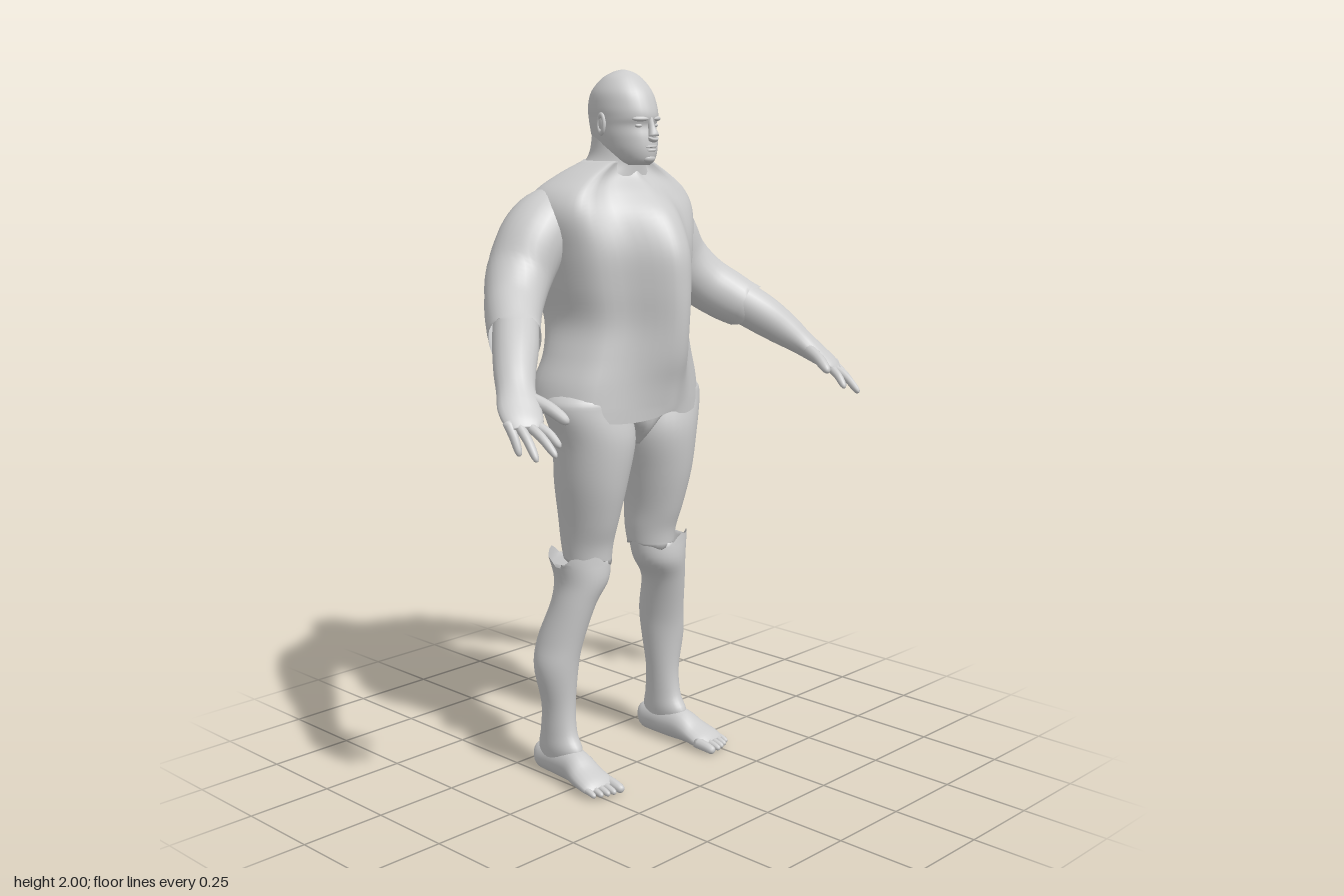
import * as THREE from 'three';

const stone = new THREE.MeshStandardMaterial({ color: 0xcccccc, side: THREE.DoubleSide });
stone.name = 'stone grey';

// Interpolate a short table of sections smoothly into many
function smooth(rows, steps = 5) {
  const out = [], last = rows.length - 1;
  for (let k = 0; k <= last * steps; k++) {
    const i = Math.min(Math.floor(k / steps), last - 1), t = k / steps - i;
    const r = j => rows[Math.max(0, Math.min(last, j))];
    out.push(rows[0].map((_, c) => {
      const [a, b, d, e] = [r(i - 1)[c], r(i)[c], r(i + 1)[c], r(i + 2)[c]];
      return b + 0.5 * t * (d - a + t * (2 * a - 5 * b + 4 * d - e + t * (3 * (b - d) + e - a)));
    }));
  }
  return out;
}

// Skin a list of rings, with optional caps at start and end
function loft(name, rings, capStart = true, capEnd = true) {
  const n = rings.length, m = rings[0].length, pos = [], idx = [];
  rings.forEach(ring => ring.forEach(p => pos.push(p.x, p.y, p.z)));
  for (let i = 0; i < n - 1; i++) for (let j = 0; j < m; j++) {
    const a = i * m + j, b = i * m + (j + 1) % m;
    idx.push(a, b, b + m, a, b + m, a + m);
  }
  const cap = (row, flip) => {
    const c = new THREE.Vector3(), id = pos.length / 3;
    rings[row].forEach(p => c.addScaledVector(p, 1 / m));
    pos.push(c.x, c.y, c.z);
    for (let j = 0; j < m; j++) {
      const a = row * m + j, b = row * m + (j + 1) % m;
      flip ? idx.push(id, b, a) : idx.push(id, a, b);
    }
  };
  if (capStart) cap(0, true);
  if (capEnd) cap(n - 1, false);
  const g = new THREE.BufferGeometry();
  g.setAttribute('position', new THREE.Float32BufferAttribute(pos, 3));
  g.setIndex(idx);
  g.computeVertexNormals();
  const mesh = new THREE.Mesh(g, stone);
  mesh.name = name;
  return mesh;
}

// Upright form from rows [y, centre x, half width, front z, back z], bottom to top
function column(name, rows, { openTop = false, hem = [0, 0], sides = 32 } = {}) {
  const all = smooth(rows);
  const rings = all.map(([y, x, w, zf, zb], i) => Array.from({ length: sides }, (_, j) => {
    const a = j / sides * Math.PI * 2;
    const wave = Math.sin(a * 3) + 0.5 * Math.sin(a * 7 + 1);
    const dy = (i === 0 ? hem[0] : i === all.length - 1 ? hem[1] : 0) * wave;
    return new THREE.Vector3(x + w * Math.sin(a), y + dy, (zf + zb) / 2 + (zf - zb) / 2 * Math.cos(a));
  }));
  return loft(name, rings, true, !openTop);
}

// Limb along a path from rows [x, y, z, horizontal radius, other radius]
function limb(name, rows, { sides = 20, steps = 5, openEnd = false, ragged = 0 } = {}) {
  const all = smooth(rows, steps), P = all.map(r => new THREE.Vector3(r[0], r[1], r[2]));
  const rings = all.map((r, i) => {
    const t = P[Math.min(i + 1, P.length - 1)].clone().sub(P[Math.max(i - 1, 0)]).normalize();
    const u = t.clone().cross(new THREE.Vector3(0, 1, 0)).normalize(), v = t.clone().cross(u);
    return Array.from({ length: sides }, (_, j) => {
      const a = j / sides * Math.PI * 2;
      const p = P[i].clone().addScaledVector(u, r[3] * Math.cos(a)).addScaledVector(v, r[4] * Math.sin(a));
      return i === all.length - 1 ? p.addScaledVector(t, ragged * Math.sin(a * 3)) : p;
    });
  });
  return loft(name, rings, true, !openEnd);
}

// Small tapering digit from a base to a tip
function digit(name, a, b, r, droop = 0.008) {
  const at = t => a.map((v, k) => v + (b[k] - v) * t + (k === 1 ? droop * 4 * t * (1 - t) : 0));
  return limb(name, [[0, 1], [0.5, 0.9], [0.85, 0.75], [0.97, 0.45], [1, 0.08]]
    .map(([t, s]) => [...at(t), r * s, r * s]), { sides: 10, steps: 3 });
}

function blob(name, x, y, z, sx, sy, sz) {
  const mesh = new THREE.Mesh(new THREE.SphereGeometry(1, 20, 14), stone);
  mesh.name = name;
  mesh.position.set(x, y, z);
  mesh.scale.set(sx, sy, sz);
  return mesh;
}

// Shirt: rows [y, half width, keel z, front side z, back lobe z, spine groove depth]
function torso() {
  const rows = smooth([
    [1.07, 0.268, 0.135, 0.08, -0.25, 0.03],
    [1.15, 0.255, 0.15, 0.08, -0.255, 0.03],
    [1.23, 0.225, 0.172, 0.085, -0.235, 0.03],
    [1.32, 0.202, 0.183, 0.088, -0.262, 0.04],
    [1.42, 0.22, 0.185, 0.088, -0.298, 0.05],
    [1.52, 0.24, 0.175, 0.08, -0.325, 0.055],
    [1.61, 0.255, 0.13, 0.045, -0.31, 0.05],
    [1.67, 0.232, 0.065, 0.01, -0.275, 0.04],
    [1.715, 0.17, 0.01, -0.015, -0.232, 0.02],
    [1.755, 0.088, -0.012, -0.022, -0.183, 0.005]]);
  const rings = rows.map(([y, w, zf, zs, zb, g], i) => {
    const half = [[0.16, zf - 0.013], [0.5, zs], [0.86, zs * 0.4 - 0.01], [1, -0.08],
      [0.93, zb * 0.6 - 0.02], [0.66, zb + 0.05], [0.29, zb]];
    const pts = [[0, zf], ...half, [0, zb + g], ...half.slice().reverse().map(([x, z]) => [-x, z])];
    const curve = new THREE.CatmullRomCurve3(pts.map(([x, z]) => new THREE.Vector3(x * w, y, z)), true, 'centripetal');
    return curve.getPoints(64).slice(0, -1).map((p, j) => {
      if (i === 0) p.y += 0.012 * Math.cos(j / 64 * Math.PI * 8) - 0.008;
      return p;
    });
  });
  return loft('shirt', rings, false, true);
}

function head() {
  const g = new THREE.Group();
  g.name = 'head';
  g.add(column('skull', [
    [1.745, 0, 0.03, 0.04, -0.04], [1.758, 0, 0.048, 0.054, -0.09], [1.785, 0, 0.064, 0.06, -0.135],
    [1.82, 0, 0.073, 0.057, -0.152], [1.85, 0, 0.077, 0.05, -0.158], [1.872, 0, 0.079, 0.057, -0.162],
    [1.9, 0, 0.081, 0.052, -0.163], [1.94, 0, 0.076, 0.034, -0.15], [1.975, 0, 0.055, 0.002, -0.115],
    [1.993, 0, 0.028, -0.025, -0.083], [2, 0, 0.003, -0.05, -0.056]]));
  g.add(column('neck', [
    [1.66, 0, 0.15, 0, -0.23], [1.71, 0, 0.118, 0, -0.208], [1.745, 0, 0.085, 0.002, -0.178],
    [1.78, 0, 0.07, 0.005, -0.158], [1.84, 0, 0.065, 0, -0.148]]));
  g.add(limb('nose', [[0, 1.872, 0.047, 0.008, 0.01], [0, 1.845, 0.055, 0.009, 0.011],
    [0, 1.823, 0.063, 0.016, 0.014], [0, 1.812, 0.057, 0.014, 0.01]], { sides: 14 }));
  g.add(blob('upperLip', 0, 1.795, 0.049, 0.024, 0.005, 0.014));
  g.add(blob('lowerLip', 0, 1.785, 0.048, 0.022, 0.006, 0.014));
  g.add(blob('chin', 0, 1.763, 0.04, 0.024, 0.014, 0.019));
  for (const s of [-1, 1]) {
    g.add(blob('eye', s * 0.03, 1.851, 0.036, 0.013, 0.006, 0.009));
    const brow = blob('brow', s * 0.031, 1.869, 0.043, 0.024, 0.007, 0.01);
    brow.rotation.y = s * 0.45;
    g.add(brow);
    const ear = new THREE.Mesh(new THREE.TorusGeometry(0.015, 0.005, 8, 20), stone);
    ear.name = 'ear';
    ear.position.set(s * 0.083, 1.855, -0.055);
    ear.rotation.y = Math.PI / 2 + s * 0.25;
    ear.scale.y = 1.6;
    g.add(ear, blob('earBowl', s * 0.079, 1.855, -0.055, 0.005, 0.022, 0.014));
  }
  return g;
}

function arm() {
  const g = new THREE.Group();
  g.name = 'arm';
  g.add(limb('sleeve', [
    [0.1, 1.63, -0.135, 0.06, 0.05], [0.18, 1.605, -0.145, 0.095, 0.085], [0.25, 1.55, -0.145, 0.1, 0.095],
    [0.315, 1.46, -0.135, 0.092, 0.088], [0.375, 1.39, -0.092, 0.08, 0.08], [0.425, 1.345, -0.04, 0.073, 0.077],
    [0.46, 1.316, 0.005, 0.069, 0.07]], { sides: 28, openEnd: true, ragged: 0.018 }));
  g.add(limb('forearm', [
    [0.36, 1.41, -0.1, 0.05, 0.055], [0.43, 1.345, -0.025, 0.06, 0.062], [0.49, 1.292, 0.04, 0.06, 0.06],
    [0.54, 1.243, 0.092, 0.054, 0.05], [0.575, 1.203, 0.135, 0.05, 0.037], [0.6, 1.17, 0.175, 0.056, 0.028],
    [0.618, 1.143, 0.21, 0.051, 0.02], [0.628, 1.127, 0.228, 0.038, 0.012]]));
  const tips = [[0.655, 1.067, 0.235], [0.648, 1.06, 0.29], [0.612, 1.07, 0.32], [0.575, 1.085, 0.295]];
  tips.forEach((tip, i) => g.add(digit('finger',
    [0.655 - 0.021 * i, 1.146 - 0.004 * i, 0.192 + 0.013 * i], tip, 0.0135)));
  g.add(digit('thumb', [0.56, 1.19, 0.165], [0.525, 1.135, 0.272], 0.019));
  return g;
}

function leg() {
  const g = new THREE.Group();
  g.name = 'leg';
  g.add(column('thigh', [
    [0.64, 0.13, 0.063, 0.005, -0.145], [0.69, 0.13, 0.067, 0.012, -0.155], [0.76, 0.133, 0.074, 0.035, -0.16],
    [0.87, 0.133, 0.094, 0.062, -0.166], [0.99, 0.128, 0.116, 0.075, -0.162], [1.08, 0.145, 0.127, 0.06, -0.17],
    [1.12, 0.14, 0.122, 0.05, -0.17], [1.17, 0.13, 0.07, 0, -0.13]],
  { hem: [0.008, 0] }));
  g.add(column('shin', [
    [0.05, 0.22, 0.036, -0.04, -0.165], [0.09, 0.22, 0.041, -0.012, -0.173], [0.14, 0.219, 0.041, -0.038, -0.163],
    [0.22, 0.218, 0.045, -0.048, -0.157], [0.33, 0.222, 0.062, -0.04, -0.173], [0.41, 0.21, 0.061, -0.028, -0.173],
    [0.52, 0.186, 0.061, -0.002, -0.14], [0.59, 0.16, 0.078, 0.016, -0.143], [0.655, 0.162, 0.09, 0.012, -0.155]],
  { openTop: true, hem: [0, 0.014] }));
  g.add(limb('foot', [
    [0.218, 0.042, -0.187, 0.016, 0.024], [0.218, 0.045, -0.17, 0.034, 0.041], [0.218, 0.05, -0.1, 0.042, 0.048],
    [0.222, 0.05, -0.03, 0.045, 0.049], [0.23, 0.035, 0.025, 0.053, 0.033], [0.233, 0.024, 0.07, 0.057, 0.023],
    [0.234, 0.017, 0.092, 0.048, 0.012]]));
  for (let i = 0; i < 5; i++) {
    const r = i ? 0.0125 - 0.0006 * i : 0.017;
    const x = i ? 0.2 + 0.0195 * i : 0.192;
    g.add(digit('toe', [x, 0.024, 0.065], [x + 0.002, 0.013, 0.133 - 0.0015 * i * i], r, 0.002));
  }
  return g;
}

export function createModel() {
  const model = new THREE.Group();
  model.name = 'standingMan';
  model.add(head(), torso());
  model.add(column('pelvis', [
    [0.965, 0, 0.012, 0.01, -0.09], [1.02, 0, 0.06, 0.055, -0.14], [1.09, 0, 0.2, 0.065, -0.18], [1.16, 0, 0.19, 0.06, -0.19]]));
  // Limbs, mirrored for the right side
  for (const s of [1, -1]) {
    const side = new THREE.Group();
    side.name = s > 0 ? 'leftLimbs' : 'rightLimbs';
    side.add(arm(), leg());
    side.scale.x = s;
    model.add(side);
  }
  return model;
}
